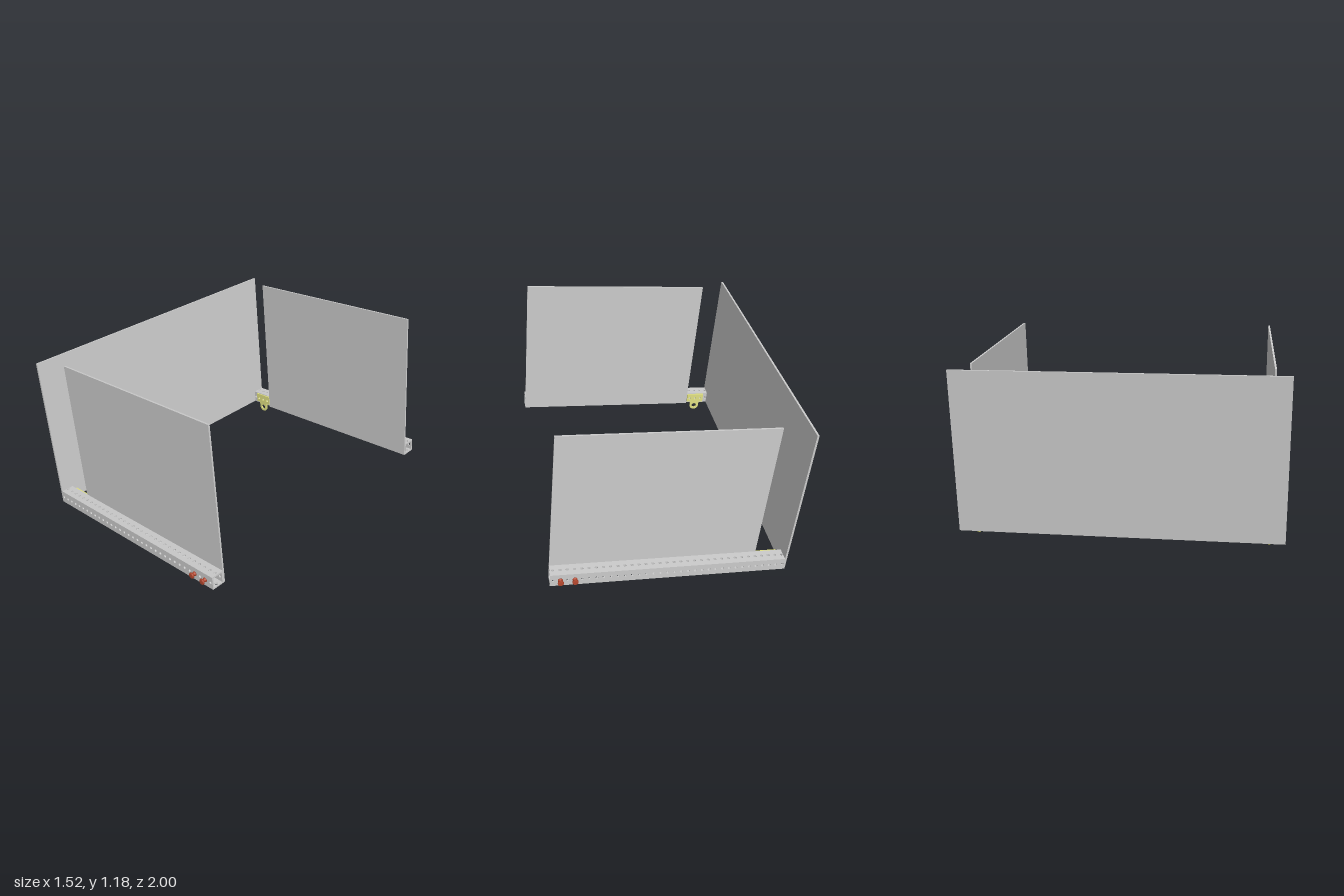
import * as THREE from 'three';
import { mergeGeometries } from 'three/addons/utils/BufferGeometryUtils.js';

const GREY = 0xcccccc, RED = 0xb5482f, YELLOW = 0xe2e283;
const LENGTH = 1.43, START = 0.012, SIZE = 0.082, WALL = 0.009;
const HOLES = 34, PITCH = 0.0421, FIRST = 0.023, HOLE_R = 0.009;
const RAIL_Z = 0.929, INNER_Z = RAIL_Z - SIZE / 2;
const holeX = i => FIRST + i * PITCH;

function mesh(name, geometry, color = GREY) {
  const m = new THREE.Mesh(geometry, new THREE.MeshStandardMaterial({ color }));
  m.name = name;
  return m;
}

// box given by its limits
function slab(name, x0, x1, y0, y1, z0, z1) {
  const m = mesh(name, new THREE.BoxGeometry(x1 - x0, y1 - y0, z1 - z0));
  m.position.set((x0 + x1) / 2, (y0 + y1) / 2, (z0 + z1) / 2);
  return m;
}

function addHole(shape, x, y, r) {
  const p = new THREE.Path();
  p.absarc(x, y, r, 0, Math.PI * 2, true);
  shape.holes.push(p);
}

// square perforated tube: four identical walls turned around its axis
function railGeometry() {
  const h = SIZE / 2, walls = [];
  const shape = new THREE.Shape([
    new THREE.Vector2(START, -h), new THREE.Vector2(LENGTH, -h),
    new THREE.Vector2(LENGTH, h - WALL), new THREE.Vector2(START, h - WALL),
  ]);
  for (let i = 0; i < HOLES; i++) addHole(shape, holeX(i), 0, HOLE_R);
  for (let k = 0; k < 4; k++) {
    const g = new THREE.ExtrudeGeometry(shape, { depth: WALL, bevelEnabled: false, curveSegments: 8 });
    walls.push(g.translate(0, 0, h - WALL).rotateX(k * Math.PI / 2));
  }
  return mergeGeometries(walls);
}

// T-shaped plate with a round eye hanging below the rail
function eyePlateGeometry() {
  const cx = 0.107, cy = -0.022, r = 0.034;
  const s = new THREE.Shape();
  s.moveTo(0.044, 0.078);
  s.lineTo(0.044, 0.012);
  s.lineTo(cx - r, 0.012);
  s.lineTo(cx - r, cy);
  s.absarc(cx, cy, r, Math.PI, Math.PI * 2, false);
  s.lineTo(cx + r, 0.012);
  s.lineTo(0.17, 0.012);
  s.lineTo(0.17, 0.078);
  s.closePath();
  addHole(s, cx, cy, 0.018);
  for (let i = 1; i <= 3; i++) addHole(s, holeX(i), SIZE / 2, HOLE_R);
  return new THREE.ExtrudeGeometry(s, { depth: 0.01, bevelEnabled: false, curveSegments: 16 });
}

// thumb screw: shank, flange, waist and flared head
function screwGeometry() {
  const profile = [[0, -0.015], [0.0085, -0.015], [0.0085, 0], [0.014, 0], [0.014, 0.004],
    [0.008, 0.01], [0.008, 0.014], [0.0175, 0.02], [0.0175, 0.028], [0.015, 0.03], [0, 0.03]];
  const g = new THREE.LatheGeometry(profile.map(p => new THREE.Vector2(...p)), 24);
  return g.rotateX(Math.PI / 2);
}

export function createModel() {
  const model = new THREE.Group();
  model.name = 'panelFrame';

  // everything sits in one frame tilted up toward +x
  const frame = new THREE.Group();
  frame.name = 'tiltedFrame';
  frame.position.set(-0.663, 0.053, 0);
  frame.rotation.z = 0.1;
  model.add(frame);

  frame.add(slab('endPanel', 0, START, 0, 0.997, -0.97, 0.97));

  const railGeo = railGeometry(), plateGeo = eyePlateGeometry(), screwGeo = screwGeometry();
  for (const side of [1, -1]) {
    const prefix = side > 0 ? 'front' : 'back';

    const rail = mesh(prefix + 'Rail', railGeo);
    rail.position.set(0, SIZE / 2, side * RAIL_Z);
    frame.add(rail);

    // upright sheet on the inner face of the rail
    const zs = [side * INNER_Z, side * (INNER_Z - 0.011)].sort((a, b) => a - b);
    frame.add(slab(prefix + 'SidePanel', 0.176, LENGTH - 0.001, 0, 0.994, zs[0], zs[1]));

    const plate = mesh(prefix + 'EyePlate', plateGeo, YELLOW);
    plate.position.z = zs[0];
    frame.add(plate);

    // screws on the outer face
    for (const i of [30, 32]) {
      const screw = mesh(prefix + 'Screw', screwGeo, RED);
      screw.position.set(holeX(i), SIZE / 2, side * 0.97);
      if (side < 0) screw.rotation.y = Math.PI;
      frame.add(screw);
    }
  }
  return model;
}
